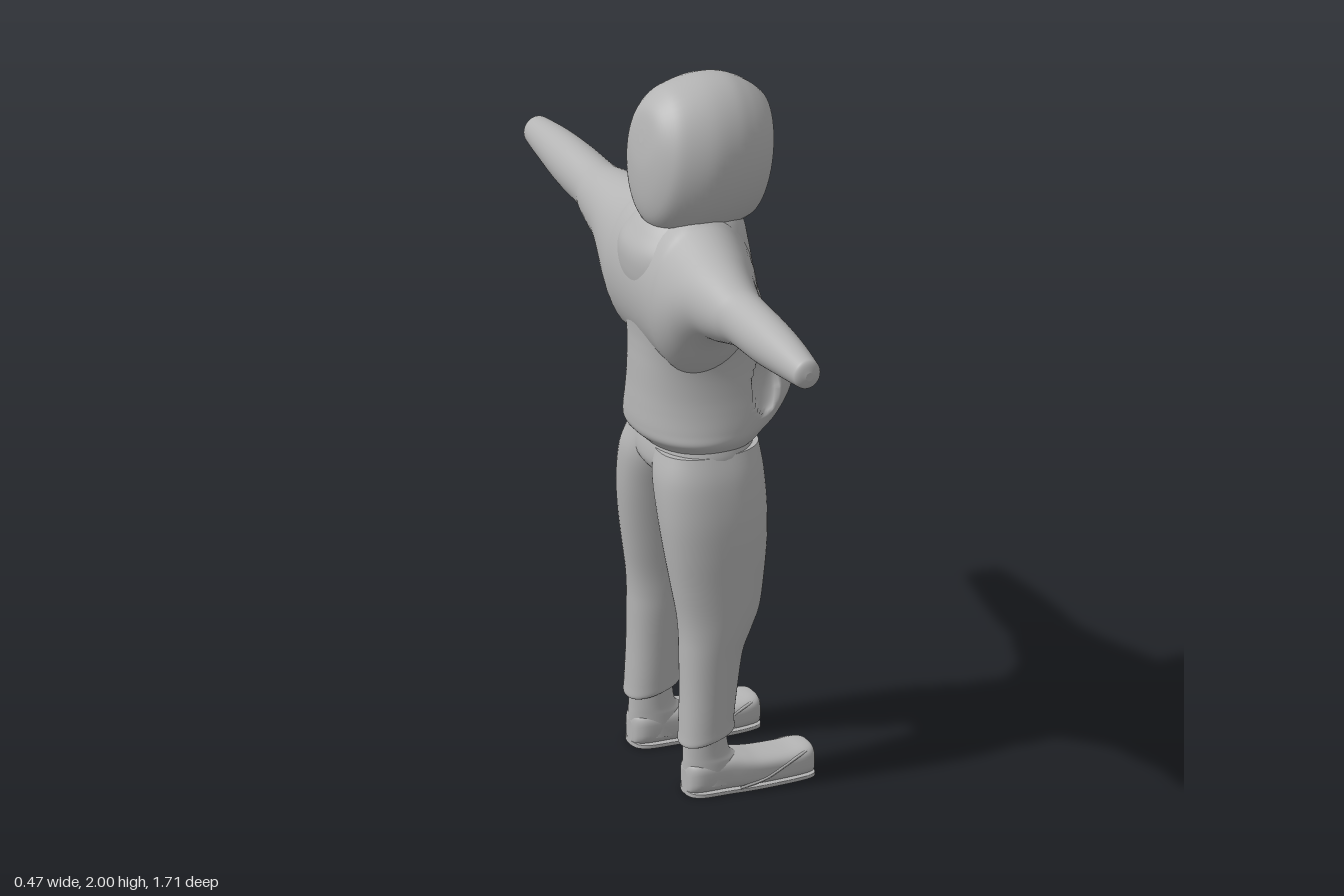
import * as THREE from 'three';

const grey = new THREE.MeshStandardMaterial({ color: 0xb4b4b4 });
grey.name = 'plain grey';

// Smooth interpolation of cross-section rows
function spline(rows, steps) {
  const out = [];
  const row = i => rows[Math.min(Math.max(i, 0), rows.length - 1)];
  for (let i = 0; i < rows.length - 1; i++) {
    const [p, q, r, s] = [row(i - 1), row(i), row(i + 1), row(i + 2)];
    for (let k = 0; k < steps; k++) {
      const t = k / steps;
      out.push(q.map((v, c) => v + 0.5 * t * (r[c] - p[c]
        + t * (2 * p[c] - 5 * v + 4 * r[c] - s[c] + t * (3 * (v - r[c]) + s[c] - p[c])))));
    }
  }
  out.push(rows[rows.length - 1]);
  return out;
}

// Placement of (position, a, b) for a loft along each axis
const axes = {
  x: (p, a, b) => [p, b, a],
  y: (p, a, b) => [a, p, b],
  z: (p, a, b) => [b, a, p],
};

// Closed loft through rows of [position, aMin, aMax, bMin, bMax]
function loft(name, axis, rows, { power = 2, steps = 5, sides = 48, bend = v => v } = {}) {
  const rings = spline(rows, steps), pos = [], index = [];
  const add = (p, a, b) => pos.push(...bend(axes[axis](p, a, b)));
  const ring = ([p, a0, a1, b0, b1]) => {
    for (let j = 0; j < sides; j++) {
      const t = j / sides * Math.PI * 2, c = Math.cos(t), s = Math.sin(t);
      const u = Math.sign(c) * Math.abs(c) ** (2 / power);
      const v = Math.sign(s) * Math.abs(s) ** (2 / power);
      add(p, (a0 + a1) / 2 + u * (a1 - a0) / 2, (b0 + b1) / 2 + v * (b1 - b0) / 2);
    }
  };
  rings.forEach(ring);
  for (let i = 0; i < rings.length - 1; i++) {
    for (let j = 0; j < sides; j++) {
      const A = i * sides + j, B = i * sides + (j + 1) % sides;
      index.push(A, A + sides, B, B, A + sides, B + sides);
    }
  }
  // Caps with their own rim so the edge stays crisp
  [rings[0], rings[rings.length - 1]].forEach((r, end) => {
    const base = pos.length / 3;
    ring(r);
    add(r[0], (r[1] + r[2]) / 2, (r[3] + r[4]) / 2);
    for (let j = 0; j < sides; j++) {
      const A = base + j, B = base + (j + 1) % sides;
      index.push(base + sides, end ? B : A, end ? A : B);
    }
  });
  const g = new THREE.BufferGeometry();
  g.setAttribute('position', new THREE.Float32BufferAttribute(pos, 3));
  g.setIndex(index);
  g.computeVertexNormals();
  return named(name, g);
}

function named(name, geometry) {
  const mesh = new THREE.Mesh(geometry, grey);
  mesh.name = name;
  return mesh;
}

// Presses a pocket hollow into each side of the belly
function pocket([x, y, z]) {
  const d = ((x - 0.095) / 0.045) ** 2 + ((y - 1.15) / 0.085) ** 2;
  if (d < 1 && Math.abs(z) > 0.05) z -= Math.sign(z) * 0.04 * Math.sqrt(1 - d) * (1 - (x - 0.05) * 3);
  return [x, y, z];
}

function createModel() {
  const model = new THREE.Group();
  model.name = 'hoodedFigure';

  // Sweatshirt body with round belly
  const torso = [
    [0.965, -0.17, 0.09, 0.17], [0.985, -0.19, 0.12, 0.187], [1.01, -0.215, 0.145, 0.201],
    [1.04, -0.22, 0.185, 0.199], [1.09, -0.218, 0.222, 0.192], [1.14, -0.215, 0.231, 0.186],
    [1.2, -0.213, 0.216, 0.182], [1.25, -0.211, 0.186, 0.184], [1.3, -0.212, 0.155, 0.192],
    [1.4, -0.222, 0.122, 0.198], [1.48, -0.234, 0.106, 0.195], [1.54, -0.23, 0.097, 0.178],
    [1.59, -0.2, 0.088, 0.15], [1.63, -0.165, 0.06, 0.12], [1.66, -0.14, 0.0, 0.08],
  ].map(([y, x0, x1, w]) => [y, x0, x1, -w, w]);
  model.add(loft('sweatshirtBody', 'y', torso, { power: 2.2, steps: 8, sides: 128, bend: pocket }));

  // Shoulders and both sleeves as one sweep
  const sleeve = [
    [0.1, 1.2, 1.645, -0.232, 0.085], [0.15, 1.205, 1.632, -0.228, 0.075],
    [0.2, 1.255, 1.62, -0.22, 0.055], [0.25, 1.325, 1.609, -0.21, 0.03],
    [0.3, 1.372, 1.6, -0.2, 0.005], [0.36, 1.392, 1.59, -0.19, -0.015],
    [0.42, 1.412, 1.578, -0.18, -0.03], [0.47, 1.424, 1.573, -0.17, -0.036],
    [0.6, 1.43, 1.57, -0.165, -0.04], [0.72, 1.444, 1.56, -0.155, -0.048],
    [0.82, 1.457, 1.546, -0.143, -0.06], [0.845, 1.464, 1.538, -0.136, -0.067],
    [0.855, 1.488, 1.512, -0.112, -0.09],
  ];
  const otherSleeve = sleeve.map(([z, ...r]) => [-z, ...r]).reverse();
  model.add(loft('sleeves', 'z', [...otherSleeve, ...sleeve]));

  // Hood swept from back to rim, then folded inward to the blank face
  const hood = [
    [-0.212, 0.015, 1.84, 1.88], [-0.206, 0.075, 1.76, 1.93], [-0.182, 0.122, 1.66, 1.963],
    [-0.145, 0.153, 1.6, 1.986], [-0.07, 0.175, 1.56, 2.0], [0, 0.172, 1.555, 1.995],
    [0.05, 0.162, 1.56, 1.976], [0.09, 0.15, 1.568, 1.952], [0.12, 0.136, 1.577, 1.928],
    [0.131, 0.122, 1.586, 1.916], [0.129, 0.109, 1.596, 1.905], [0.11, 0.102, 1.606, 1.894],
    [0.07, 0.092, 1.63, 1.87], [0.053, 0.05, 1.68, 1.82], [0.05, 0.005, 1.745, 1.755],
  ].map(([x, w, y0, y1]) => [x, -w, w, y0, y1]);
  model.add(loft('hood', 'x', hood, { bend: ([x, y, z]) => [x + 0.19 * (y - 1.75), y, z] }));

  // Seat of the trousers
  const seat = [
    [0.855, -0.1, 0.02, 0.03], [0.875, -0.15, 0.065, 0.09], [0.91, -0.183, 0.097, 0.16],
    [0.95, -0.186, 0.107, 0.192], [1.0, -0.175, 0.1, 0.18],
  ].map(([y, x0, x1, w]) => [y, x0, x1, -w, w]);
  model.add(loft('trouserSeat', 'y', seat, { power: 2.2 }));

  for (const side of [1, -1]) {
    const label = side > 0 ? 'nearZ' : 'farZ';
    const flip = (lo, hi) => side > 0 ? [lo, hi] : [-hi, -lo];

    // Trouser leg with slanted cuff
    const leg = [
      [0.162, -0.148, -0.012, 0.112, 0.226], [0.168, -0.156, -0.006, 0.102, 0.236],
      [0.2, -0.154, -0.008, 0.1, 0.236], [0.3, -0.15, 0.004, 0.095, 0.236],
      [0.4, -0.15, 0.02, 0.088, 0.237], [0.46, -0.151, 0.046, 0.083, 0.238],
      [0.52, -0.157, 0.072, 0.076, 0.238], [0.6, -0.17, 0.087, 0.063, 0.238],
      [0.7, -0.185, 0.1, 0.044, 0.238], [0.8, -0.195, 0.106, 0.02, 0.232],
      [0.9, -0.196, 0.106, -0.01, 0.214], [0.97, -0.18, 0.1, -0.02, 0.188],
    ].map(([y, x0, x1, z0, z1]) => [y, x0, x1, ...flip(z0, z1)]);
    const slant = ([x, y, z]) => [x, y + (x + 0.08) * 0.3 * Math.max(0, 1 - (y - 0.16) / 0.2), z];
    model.add(loft('trouserLeg_' + label, 'y', leg, { power: 2.3, bend: slant }));

    // Ankle
    const ankle = [
      [0.03, -0.146, 0.02, 0.11, 0.228], [0.09, -0.146, 0.005, 0.112, 0.226],
      [0.12, -0.145, -0.02, 0.115, 0.222], [0.2, -0.144, -0.03, 0.118, 0.22],
    ].map(([y, x0, x1, z0, z1]) => [y, x0, x1, ...flip(z0, z1)]);
    model.add(loft('ankle_' + label, 'y', ankle));

    // Foot and flat sole share one outline: x, z range, top
    const plan = [
      [-0.146, 0.155, 0.185, 0.07], [-0.138, 0.132, 0.208, 0.09], [-0.11, 0.115, 0.224, 0.1],
      [-0.04, 0.109, 0.229, 0.105], [0.01, 0.104, 0.234, 0.096], [0.06, 0.101, 0.236, 0.087],
      [0.14, 0.1, 0.235, 0.083], [0.19, 0.106, 0.23, 0.087], [0.212, 0.118, 0.219, 0.085],
      [0.219, 0.138, 0.2, 0.077],
    ];
    const foot = plan.map(([x, z0, z1, top]) => [x, ...flip(z0, z1), 0.005, top]);
    const sole = plan.map(([x, z0, z1]) => [x, ...flip(z0 - 0.002, z1 + 0.002), 0, 0.013]);
    model.add(loft('foot_' + label, 'x', foot, { power: 3.2 }));
    model.add(loft('sole_' + label, 'x', sole, { power: 9 }));

    // Strap line running up each side of the foot to the toe
    for (const edge of [1, -1]) {
      const path = [[-0.01, 0.014, 0.064], [0.06, 0.028, 0.067], [0.12, 0.055, 0.066],
        [0.17, 0.073, 0.057], [0.212, 0.074, 0.035], [0.22, 0.045, 0.028], [0.219, 0.015, 0.028]]
        .map(([x, y, w]) => new THREE.Vector3(x, y, side * (0.168 + edge * w)));
      const curve = new THREE.CatmullRomCurve3(path);
      model.add(named('footStrap_' + label, new THREE.TubeGeometry(curve, 32, 0.004, 6)));
    }
  }
  return model;
}

export { createModel };
